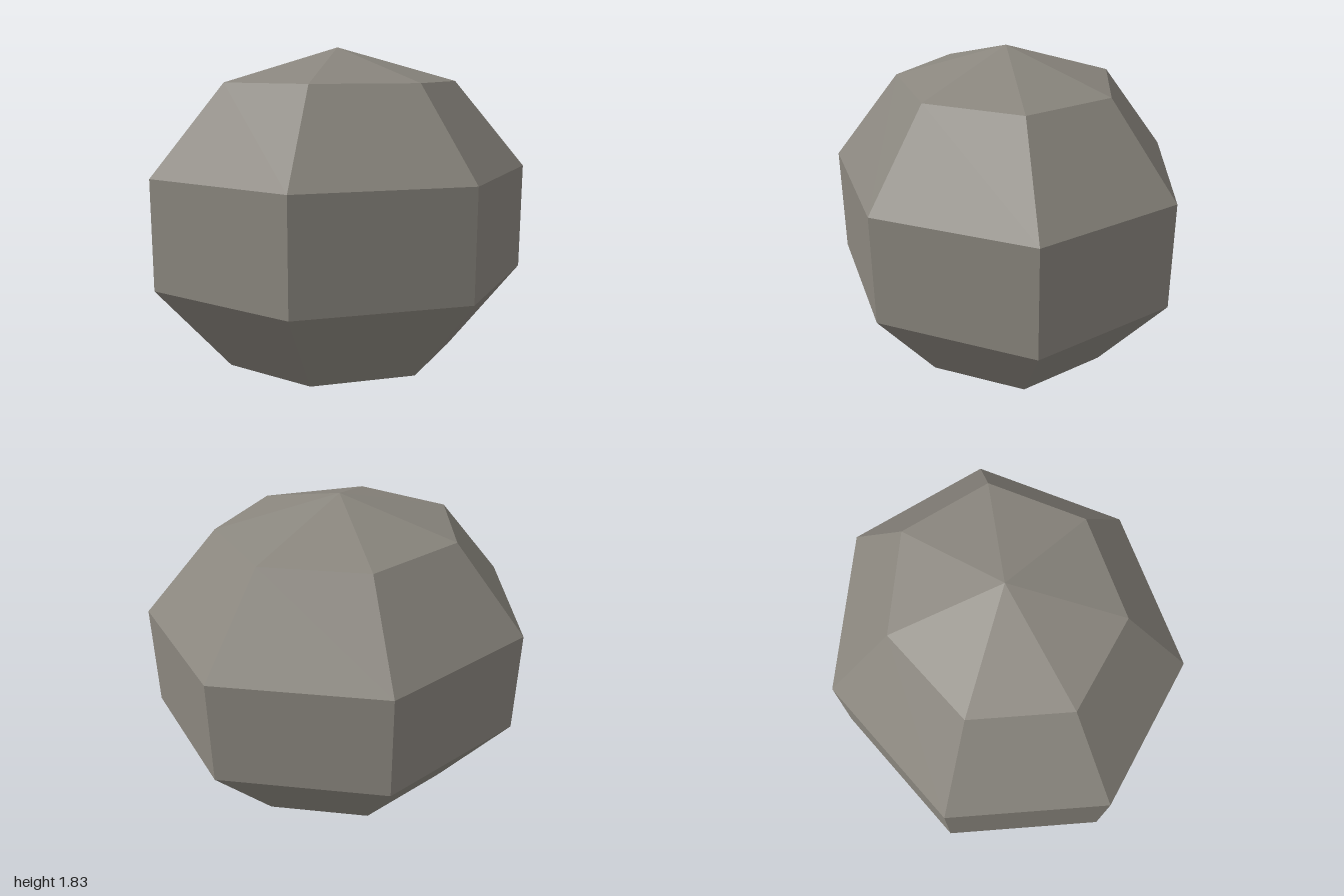
import * as THREE from 'three';

export function createModel() {
  const group = new THREE.Group();
  group.name = 'boulder';

  const stone = new THREE.MeshStandardMaterial({ color: 0x8a867e, flatShading: true });
  stone.name = 'stone grey';

  // Seven-sided, five-band faceted sphere with one corner pointing to the back
  const geometry = new THREE.SphereGeometry(1, 7, 5);
  geometry.rotateY(-Math.PI / 2);
  geometry.scale(1.0785, 0.916, 0.967);
  // Stand it on the ground and centre its bounds
  geometry.computeBoundingBox();
  const { min, max } = geometry.boundingBox;
  geometry.translate(-(min.x + max.x) / 2, -min.y, -(min.z + max.z) / 2);

  const rock = new THREE.Mesh(geometry, stone);
  rock.name = 'rock';
  group.add(rock);
  return group;
}
